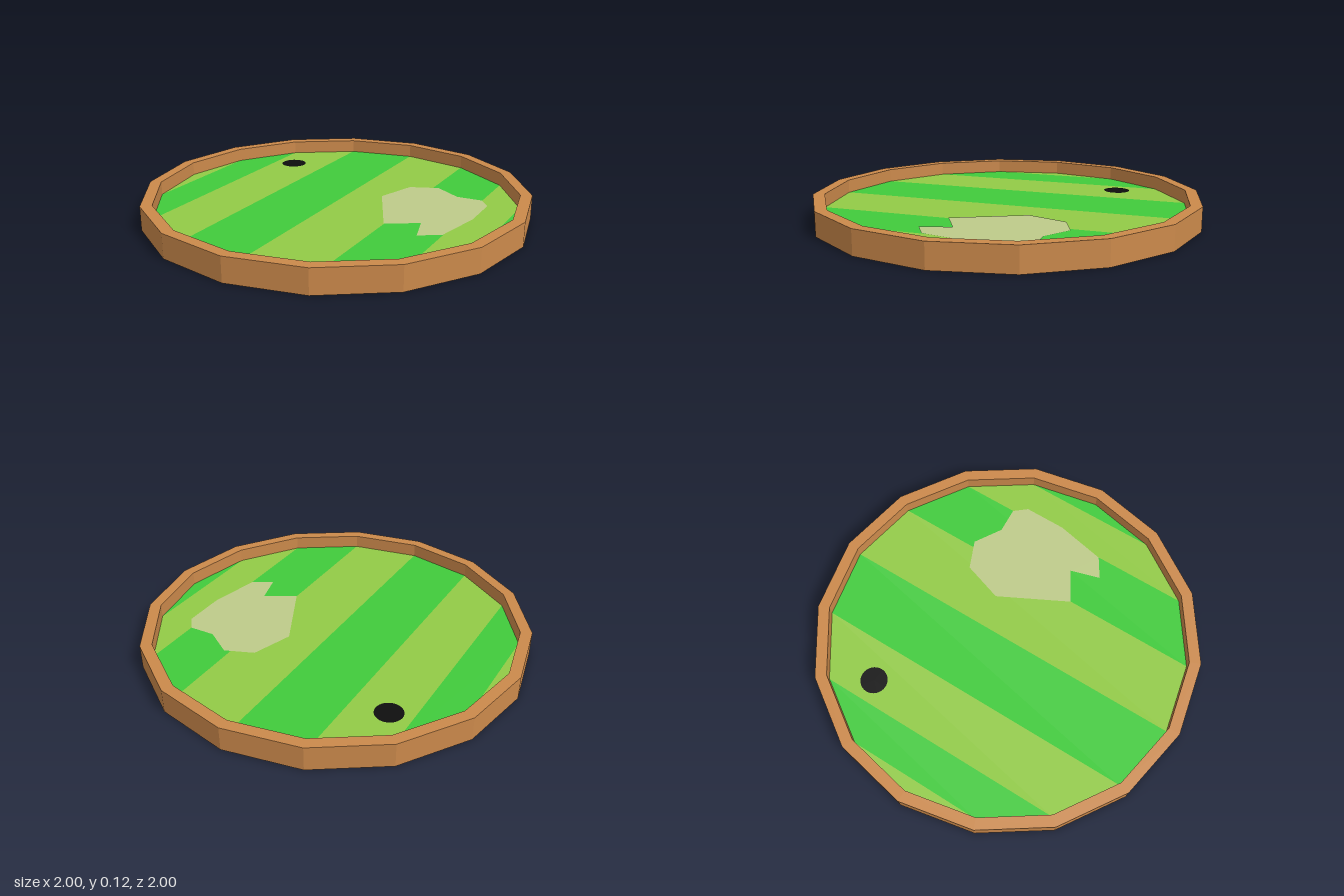
import * as THREE from 'three';

const SIDES = 16;
const INNER = 0.94;
const HEIGHT = 0.125;
const FLOOR = 0.055;

const WOOD = 0xcb894b;
const GREEN = 0x41cb3c;
const LIME = 0x92cb46;
const SAND = 0xbecb8a;
const BLACK = 0x0e0e0e;

function part(name, geometry, color) {
  const material = new THREE.MeshStandardMaterial({ color, flatShading: true });
  const mesh = new THREE.Mesh(geometry, material);
  mesh.name = name;
  return mesh;
}

// Flat upward-facing patch from [x, z] corners
function patch(name, corners, y, color) {
  const shape = new THREE.Shape(corners.map(([x, z]) => new THREE.Vector2(x, -z)));
  const geometry = new THREE.ShapeGeometry(shape).rotateX(-Math.PI / 2).translate(0, y, 0);
  return part(name, geometry, color);
}

export function createModel() {
  const model = new THREE.Group();
  model.name = 'puttingGreen';

  // Wooden border: outer wall, top rim and inner wall
  const profile = [[1, 0], [1, HEIGHT], [INNER, HEIGHT], [INNER, FLOOR]]
    .map(([x, y]) => new THREE.Vector2(x, y));
  model.add(part('border', new THREE.LatheGeometry(profile, SIDES), WOOD));

  // Underside
  const base = new THREE.CircleGeometry(1, SIDES).rotateX(Math.PI / 2);
  model.add(part('underside', base, GREEN));

  // Mown stripes running front to back between opposite corners of the border
  const lawn = new THREE.Group();
  lawn.name = 'lawn';
  for (let i = 0; i < SIDES / 2; i++) {
    const a = Math.PI - (i * 2 * Math.PI) / SIDES;
    const b = a - (2 * Math.PI) / SIDES;
    const [x0, z0, x1, z1] = [Math.cos(a), Math.sin(a), Math.cos(b), Math.sin(b)]
      .map((v) => v * INNER);
    const corners = [[x0, z0], [x1, z1]];
    if (i < SIDES / 2 - 1) corners.push([x1, -z1]);
    if (i > 0) corners.push([x0, -z0]);
    lawn.add(patch('stripe' + (i + 1), corners, FLOOR, i % 2 ? GREEN : LIME));
  }
  model.add(lawn);

  // Sand bunker
  model.add(patch('bunker', [
    [0.176, -0.18], [0.245, -0.39], [0.39, -0.45], [0.53, -0.363], [0.663, -0.37], [0.717, -0.305],
    [0.717, -0.086], [0.663, 0.176], [0.56, 0.24], [0.515, 0.085], [0.358, 0.176],
  ], FLOOR + 0.002, SAND));

  // Hole
  const hole = new THREE.CircleGeometry(0.07, 32).rotateX(-Math.PI / 2);
  hole.translate(-0.55, FLOOR + 0.002, -0.465);
  model.add(part('hole', hole, BLACK));

  return model;
}
